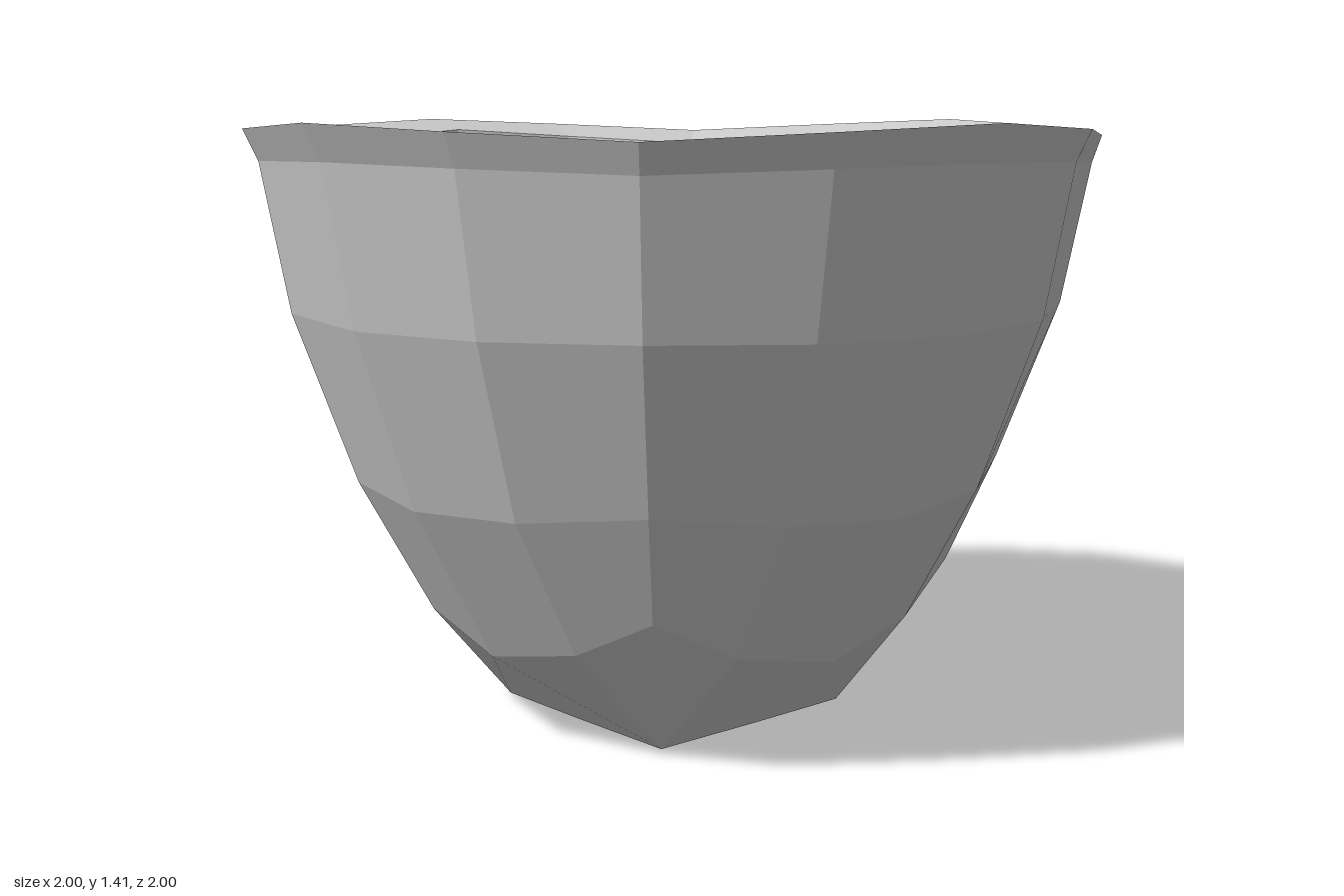
import * as THREE from 'three';

// Each ring has 16 points, mirrored eightfold from three of them:
// [axis radius, axis y, between x, between z, between y, diagonal x = z, diagonal y]
const OUTER_BASE = [0.545, 0.205, 0.27, 0.52, 0.26, 0.47, 0.36];
const INNER_BASE = [0.755, 1.0, 0.2, 0.655, 0.9, 0.45, 0.845];
const RINGS = [
  OUTER_BASE,
  [0.75, 0.57, 0.3, 0.7, 0.585, 0.55, 0.612],
  [0.89, 0.975, 0.355, 0.83, 0.98, 0.65, 0.985],
  [0.96, 1.328, 0.375, 0.89, 1.322, 0.695, 1.312],
  [1.0, 1.408, 0.385, 0.922, 1.393, 0.71, 1.375],
  [0.875, 1.38, 0.32, 0.8, 1.36, 0.605, 1.34],
  INNER_BASE,
];

// Turns a point by quarter turns about y, from +z towards +x
function turn([x, y, z], quarters) {
  for (let i = 0; i < quarters; i++) [x, z] = [z, -x];
  return [x, y, z];
}

function ringPoints([r, ry, bx, bz, by, d, dy]) {
  const quarter = [[0, ry, r], [bx, by, bz], [d, dy, d], [bz, by, bx]];
  return Array.from({ length: 16 }, (_, k) => turn(quarter[k % 4], Math.floor(k / 4)));
}

// Faceted surface: every quad has one normal, from its two diagonals
function facetedMesh(name, quads, material) {
  const positions = [];
  const normals = [];
  for (const quad of quads) {
    const [a, b, c, d] = quad.map((p) => new THREE.Vector3(...p));
    const normal = c.clone().sub(a).cross(d.clone().sub(b)).normalize();
    for (const p of [a, b, c, a, c, d]) {
      positions.push(...p);
      normals.push(...normal);
    }
  }
  const geometry = new THREE.BufferGeometry();
  geometry.setAttribute('position', new THREE.Float32BufferAttribute(positions, 3));
  geometry.setAttribute('normal', new THREE.Float32BufferAttribute(normals, 3));
  const mesh = new THREE.Mesh(geometry, material);
  mesh.name = name;
  return mesh;
}

// Bands of quads joining successive rings
function wallQuads(rings) {
  const quads = [];
  for (let i = 0; i + 1 < rings.length; i++) {
    const lo = ringPoints(rings[i]);
    const up = ringPoints(rings[i + 1]);
    for (let k = 0; k < 16; k++) {
      const n = (k + 1) % 16;
      quads.push([lo[k], lo[n], up[n], up[k]]);
    }
  }
  return quads;
}

// Square grid cap closing a ring; first is the index of its first corner
function capQuads(ringData, first, corner, middle, centreY, faceUp) {
  const ring = ringPoints(ringData);
  const at = (k) => ring[(k + 16) % 16];
  const centre = [0, centreY, 0];
  const quads = [];
  for (let q = 0; q < 4; q++) {
    const k = first + q * 4;
    const c = turn(corner, q);
    const next = turn(corner, q + 1);
    const mid = turn(middle, q);
    const previousMid = turn(middle, q + 3);
    quads.push(
      [c, at(k + 1), at(k), at(k - 1)],
      [c, mid, at(k + 2), at(k + 1)],
      [next, at(k + 3), at(k + 2), mid],
      [centre, mid, c, previousMid],
    );
  }
  return faceUp ? quads.map((quad) => quad.reverse()) : quads;
}

export function createModel() {
  const group = new THREE.Group();
  group.name = 'bowl';
  const material = new THREE.MeshStandardMaterial({ color: 0xcccccc });

  // Outer wall, rim and inner wall
  group.add(facetedMesh('outerWall', wallQuads(RINGS.slice(0, 5)), material));
  group.add(facetedMesh('rim', wallQuads(RINGS.slice(4, 6)), material));
  group.add(facetedMesh('innerWall', wallQuads(RINGS.slice(5)), material));

  // Flat square foot with corners on the diagonals
  const foot = capQuads(OUTER_BASE, 2, [0.285, 0, 0.285], [0.288, 0, 0], 0, false);
  group.add(facetedMesh('foot', foot, material));

  // Deep, dished inner floor with corners on the axes
  const floor = capQuads(INNER_BASE, 0, [0, 0.42, 0.47], [0.24, 0.36, 0.24], 0.3, true);
  group.add(facetedMesh('innerFloor', floor, material));
  return group;
}
